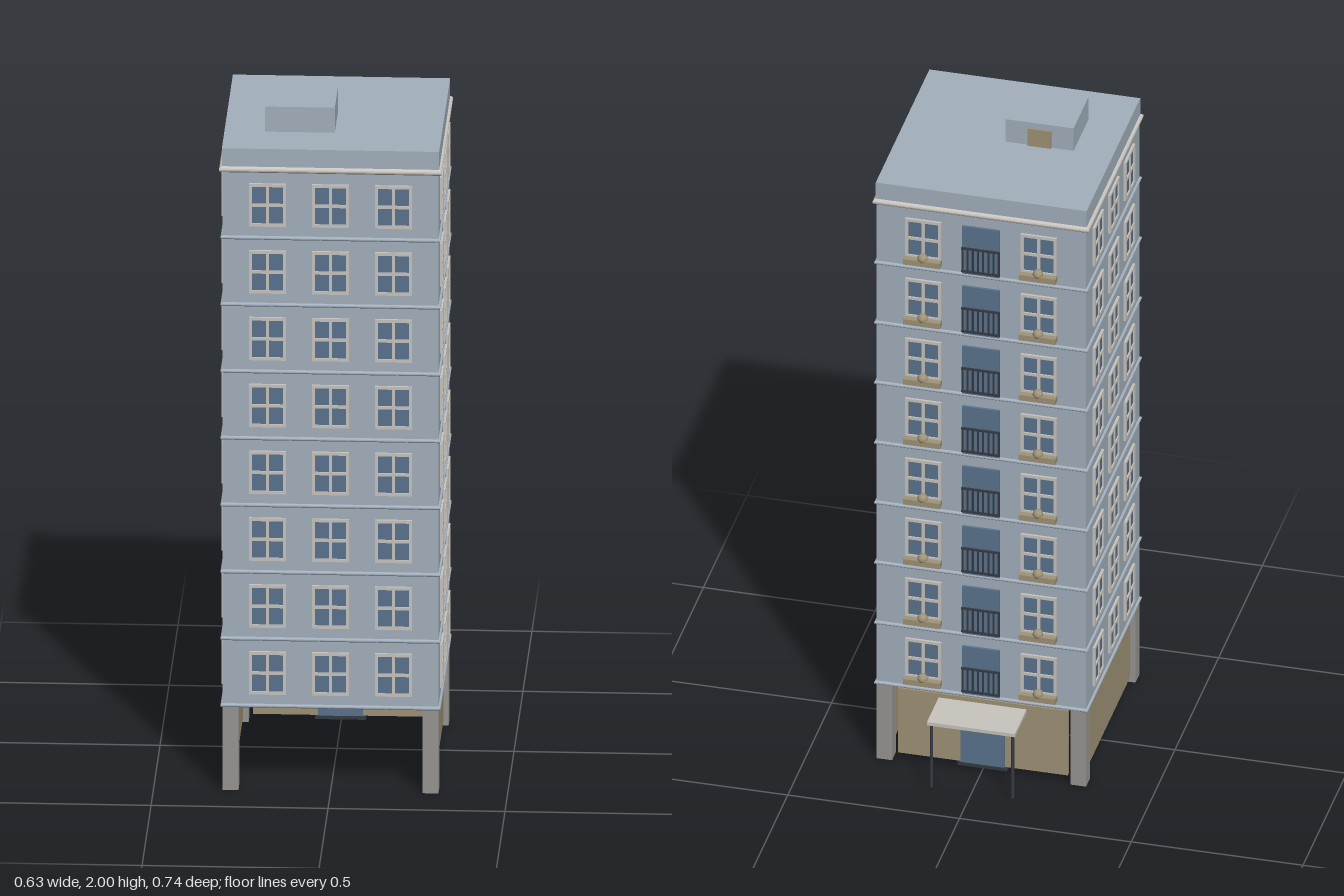
import * as THREE from 'three';

const material = (name, color) => {
  const m = new THREE.MeshStandardMaterial({ color });
  m.name = name;
  return m;
};

const CZ = 0.055;      // tower centre in z
const HALF = 0.305;    // half width of the square tower
const BASE = 0.25;     // underside of the first storey
const STOREY = 0.2005;
const FLOORS = 8;

export function createModel() {
  const wall = material('blue grey wall', 0xa3b0bd);
  const trim = material('pale trim', 0xc9c5bf);
  const glass = material('blue glass', 0x5a748e);
  const tan = material('tan panel', 0xa09376);
  const stone = material('grey pillar', 0x979691);
  const iron = material('dark iron', 0x363a41);

  const model = new THREE.Group();
  model.name = 'towerBlock';

  const add = (parent, name, geometry, mat, x = 0, y = 0, z = 0) => {
    const mesh = new THREE.Mesh(geometry, mat);
    mesh.name = name;
    mesh.position.set(x, y, z);
    parent.add(mesh);
    return mesh;
  };
  // Box given by its minimum and maximum corners
  const box = (parent, name, mat, [x0, y0, z0], [x1, y1, z1]) =>
    add(parent, name, new THREE.BoxGeometry(x1 - x0, y1 - y0, z1 - z0), mat,
      (x0 + x1) / 2, (y0 + y1) / 2, (z0 + z1) / 2);

  const rectangle = (Target, x0, y0, x1, y1) => {
    const r = new Target();
    r.moveTo(x0, y0);
    r.lineTo(x1, y0);
    r.lineTo(x1, y1);
    r.lineTo(x0, y1);
    r.closePath();
    return r;
  };

  // Frame with a grid of pane openings
  const frameGeometry = (w, h, cols, rows, bar) => {
    const shape = rectangle(THREE.Shape, -w / 2, -h / 2, w / 2, h / 2);
    const pw = (w - bar * (cols + 1)) / cols;
    const ph = (h - bar * (rows + 1)) / rows;
    for (let c = 0; c < cols; c++) {
      for (let r = 0; r < rows; r++) {
        const x = -w / 2 + bar + c * (pw + bar);
        const y = -h / 2 + bar + r * (ph + bar);
        shape.holes.push(rectangle(THREE.Path, x, y, x + pw, y + ph));
      }
    }
    return new THREE.ExtrudeGeometry(shape, { depth: 0.007, bevelEnabled: false });
  };

  // Square slab with a rounded rim, running right round the tower
  const rimGeometry = (reach, thickness) => {
    const inner = HALF - 0.002;
    const g = new THREE.ExtrudeGeometry(rectangle(THREE.Shape, -inner, -inner, inner, inner), {
      depth: 0.001, bevelThickness: thickness / 2, bevelSize: reach + 0.002, bevelSegments: 4,
    });
    return g.rotateX(-Math.PI / 2);
  };

  // Tower body and roof
  box(model, 'towerBody', wall, [-HALF, BASE, CZ - HALF], [HALF, 1.86, CZ + HALF]);
  box(model, 'roofBlock', wall, [-0.307, 1.86, CZ - 0.307], [0.307, 1.925, CZ + 0.307]);
  add(model, 'cornice', rimGeometry(0.01, 0.018), trim, 0, 1.862, CZ);
  box(model, 'roofHut', wall, [-0.193, 1.925, 0.047], [0.005, 2, 0.217]);
  box(model, 'roofHutDoor', tan, [-0.128, 1.925, 0.041], [-0.06, 1.982, 0.048]);

  const band = rimGeometry(0.006, 0.011);
  for (let i = 0; i < FLOORS; i++) {
    add(model, 'floorBand', band, wall, 0, BASE + 0.004 + i * STOREY, CZ);
  }

  // Shared geometry for windows, balcony doors, railings and planters
  const windowFrame = frameGeometry(0.105, 0.128, 2, 2, 0.009);
  const windowGlass = new THREE.BoxGeometry(0.1, 0.123, 0.004);
  const doorFrame = frameGeometry(0.108, 0.158, 2, 1, 0.006);
  const doorGlass = new THREE.BoxGeometry(0.104, 0.154, 0.004);
  const rail = new THREE.BoxGeometry(0.112, 0.006, 0.005);
  const baluster = new THREE.BoxGeometry(0.005, 0.08, 0.004);
  const planter = new THREE.BoxGeometry(0.107, 0.018, 0.026);
  const bush = new THREE.SphereGeometry(0.015, 16, 12);

  const addWindow = (face, x, y) => {
    const g = new THREE.Group();
    g.name = 'window';
    g.position.set(x, y, HALF);
    add(g, 'windowFrame', windowFrame, trim);
    add(g, 'windowGlass', windowGlass, glass, 0, 0, 0.001);
    face.add(g);
  };

  const addBalcony = (face, y) => {
    const g = new THREE.Group();
    g.name = 'balcony';
    g.position.set(0, y, HALF);
    add(g, 'balconyDoorFrame', doorFrame, glass, 0, -0.015, 0);
    add(g, 'balconyDoorGlass', doorGlass, glass, 0, -0.015, 0.001);
    add(g, 'railTop', rail, iron, 0, -0.008, 0.009);
    add(g, 'railBottom', rail, iron, 0, -0.084, 0.009);
    for (let i = 0; i < 8; i++) {
      add(g, 'baluster', baluster, iron, -0.053 + i * 0.106 / 7, -0.046, 0.009);
    }
    face.add(g);
  };

  // Four faces: front, left, back, right
  ['frontFace', 'leftFace', 'backFace', 'rightFace'].forEach((name, side) => {
    const face = new THREE.Group();
    face.name = name;
    face.position.z = CZ;
    face.rotation.y = side * Math.PI / 2;
    const back = name === 'backFace';
    for (let i = 0; i < FLOORS; i++) {
      const y = 0.354 + i * STOREY;
      for (const column of [-1, 0, 1]) {
        const x = column * (back ? 0.168 : 0.178);
        if (back && column === 0) {
          addBalcony(face, y);
          continue;
        }
        addWindow(face, x, y);
        if (back) {
          add(face, 'planter', planter, tan, x, y - 0.07, HALF + 0.012);
          add(face, 'bush', bush, tan, x, y - 0.058, HALF + 0.013);
        }
      }
    }
    model.add(face);
  });

  // Open ground floor: corner pillars and three infill walls
  const pillar = new THREE.BoxGeometry(0.045, BASE, 0.045);
  for (const sx of [-1, 1]) {
    for (const sz of [-1, 1]) {
      add(model, 'pillar', pillar, stone, sx * 0.2825, BASE / 2, CZ + sz * 0.2825);
    }
    box(model, 'sideWall', tan,
      [sx * 0.283 - 0.008, 0.02, CZ - 0.248], [sx * 0.283 + 0.008, 0.235, CZ + 0.252]);
  }
  box(model, 'backWall', tan, [-0.248, 0.02, -0.236], [0.246, 0.235, -0.22]);

  // Entrance with canopy
  box(model, 'entranceDoor', glass, [-0.065, 0.018, -0.241], [0.063, 0.182, -0.215]);
  box(model, 'doorSill', iron, [-0.073, 0.01, -0.243], [0.071, 0.02, -0.213]);
  box(model, 'canopy', trim, [-0.128, 0.211, -0.37], [0.128, 0.222, -0.236]);
  const post = new THREE.CylinderGeometry(0.005, 0.005, 0.211, 12);
  for (const sx of [-1, 1]) {
    add(model, 'canopyPost', post, iron, sx * 0.118, 0.1055, -0.357);
  }

  return model;
}
